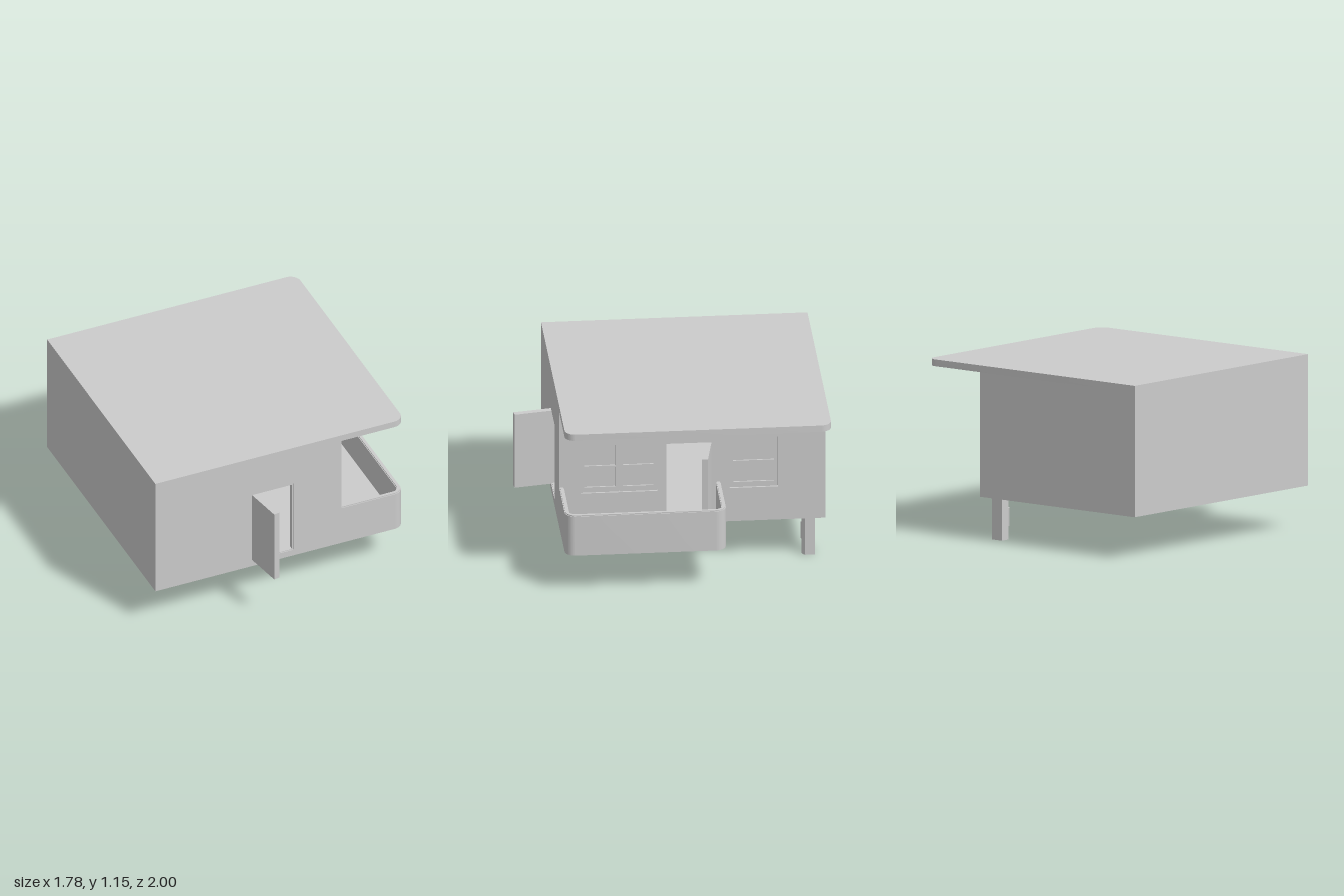
import * as THREE from 'three';
import { toCreasedNormals } from 'three/addons/utils/BufferGeometryUtils.js';

const mat = new THREE.MeshStandardMaterial({ color: 0xcccccc });
const X0 = -0.89, X1 = 0.44, X2 = 0.89, Z0 = -1, Z1 = 0.75;
const Y0 = 0.285, FLOOR = 0.33, CEIL = 1.11, TOP = 1.155, T = 0.04;

function add(parent, name, geo, x = 0, y = 0, z = 0) {
  const m = new THREE.Mesh(geo, mat);
  m.name = name;
  m.position.set(x, y, z);
  parent.add(m);
  return m;
}

// Box given by its limits on each axis
function block(parent, name, x0, x1, y0, y1, z0, z1) {
  return add(parent, name, new THREE.BoxGeometry(x1 - x0, y1 - y0, z1 - z0),
    (x0 + x1) / 2, (y0 + y1) / 2, (z0 + z1) / 2);
}

function rectPath(path, [u0, u1, v0, v1]) {
  path.moveTo(u0, v0);
  path.lineTo(u1, v0);
  path.lineTo(u1, v1);
  path.lineTo(u0, v1);
  path.closePath();
  return path;
}

// Upright panel with rectangular holes, each [u0, u1, v0, v1]
function panel(outer, holes, depth) {
  const s = rectPath(new THREE.Shape(), outer);
  for (const h of holes) s.holes.push(rectPath(new THREE.Path(), h));
  return new THREE.ExtrudeGeometry(s, { depth, bevelEnabled: false });
}

// Panel facing +x, with u running towards -z
function sidePanel(parent, name, outer, holes, depth, x) {
  return add(parent, name, panel(outer, holes, depth).rotateY(Math.PI / 2), x, 0, 0);
}

// Plan outline (x, -z) raised from y0 to y1
function raise(shape, y0, y1) {
  const g = new THREE.ExtrudeGeometry(shape, { depth: y1 - y0, bevelEnabled: false, curveSegments: 10 });
  return toCreasedNormals(g.rotateX(-Math.PI / 2).translate(0, y0, 0), 0.6);
}

// Line round the two +x corners, front to back
function roundedEnd(shape, x, zFront, zBack, r) {
  shape.lineTo(x - r, -zFront);
  shape.absarc(x - r, -zFront + r, r, -Math.PI / 2, 0, false);
  shape.lineTo(x, -zBack - r);
  shape.absarc(x - r, -zBack - r, r, 0, Math.PI / 2, false);
}

function slabShape(xa, xb, zFront, zBack, r) {
  const s = new THREE.Shape();
  s.moveTo(xa, -zFront);
  roundedEnd(s, xb, zFront, zBack, r);
  s.lineTo(xa, -zBack);
  s.closePath();
  return s;
}

const BACK = -0.31, R = 0.07, P = 0.03;
function parapetShape(inset) {
  const s = new THREE.Shape();
  const i = inset, w = P - inset;
  s.moveTo(X1, -(Z1 - i));
  roundedEnd(s, X2 - i, Z1 - i, BACK + i, R - i);
  s.lineTo(X1, -(BACK + i));
  s.lineTo(X1, -(BACK + w));
  s.lineTo(X2 - R, -(BACK + w));
  s.absarc(X2 - R, -(BACK + R), R - w, Math.PI / 2, 0, true);
  s.lineTo(X2 - w, -(Z1 - R));
  s.absarc(X2 - R, -(Z1 - R), R - w, 0, -Math.PI / 2, true);
  s.lineTo(X1, -(Z1 - w));
  s.closePath();
  return s;
}

// Framed window in the +x wall: trim, sashes and glass
function addWindow(parent, [u0, u1, v0, v1], columns) {
  const g = new THREE.Group();
  g.name = 'window';
  parent.add(g);
  const e = 0.018;
  const inner = [u0 + e, u1 - e, v0 + e, v1 - e];
  sidePanel(g, 'windowTrim', [u0, u1, v0, v1], [inner], T, X1 - T);
  const cw = (inner[1] - inner[0]) / columns;
  for (let c = 0; c < columns; c++) {
    const a = inner[0] + c * cw, b = a + cw;
    const outer = [a + 0.002, b - 0.002, inner[2], inner[3]];
    const panes = [[a + 0.025, b - 0.025, 0.56, 0.70], [a + 0.025, b - 0.025, 0.712, 0.857]];
    sidePanel(g, 'sash', outer, panes, 0.02, X1 - 0.033);
  }
  block(g, 'glass', X1 - 0.028, X1 - 0.024, inner[2], inner[3], -inner[1], -inner[0]);
}

// Open door leaf; side is the way its thickness goes from the hinge edge
function addDoor(parent, name, x, z, turn, side) {
  const leaf = new THREE.BoxGeometry(0.04, 0.525, 0.27).translate(side * 0.02, 0.2625, 0.135);
  add(parent, name, leaf, x, FLOOR, z).rotation.y = turn;
}

export function createModel() {
  const house = new THREE.Group();
  house.name = 'house';

  // Walls
  const frontDoor = [-0.2, 0.1, FLOOR, 0.865];
  const sideDoor = [-0.055, 0.25, FLOOR, 0.865];
  const wideWindow = [-0.625, -0.085, 0.505, 0.9];
  const smallWindow = [0.35, 0.705, 0.505, 0.9];
  add(house, 'frontWall', panel([X0, X1 - T, Y0, CEIL], [frontDoor], T), 0, 0, Z1 - T);
  sidePanel(house, 'sideWall', [-Z1, -Z0, Y0, CEIL], [wideWindow, sideDoor, smallWindow], T, X1 - T);
  block(house, 'backWall', X0, X1 - T, Y0, CEIL, Z0, Z0 + T);
  block(house, 'leftOuterWall', X0, X0 + T, Y0, CEIL, Z0 + T, Z1 - T);
  block(house, 'skirting', X0 + T, X1 - T, FLOOR, 0.4, Z0 + T, Z0 + T + 0.01);

  // Floors and roof
  block(house, 'floor', X0 + T, X1 - T, Y0, FLOOR, Z0 + T, Z1 - T);
  add(house, 'balconyFloor', raise(slabShape(X1, X2 - P, Z1 - P, BACK + P, R - P), Y0, FLOOR));
  add(house, 'roof', raise(slabShape(X0, X2, Z1, Z0, R), CEIL, TOP));

  // Balcony parapet with a slightly narrower rim
  add(house, 'parapet', raise(parapetShape(0), Y0, 0.565));
  add(house, 'parapetRim', raise(parapetShape(0.005), 0.565, 0.572));

  // Windows
  addWindow(house, wideWindow, 2);
  addWindow(house, smallWindow, 1);

  // Doors, both standing open, with thin linings
  const lining = ([a, b, c, d]) => [[a, b, c, d], [[a + 0.01, b - 0.01, c + 0.005, d - 0.01]]];
  add(house, 'frontDoorLining', panel(...lining(frontDoor), T - 0.006), 0, 0, Z1 - T);
  sidePanel(house, 'balconyDoorLining', ...lining(sideDoor), T - 0.006, X1 - T);
  const ajar = THREE.MathUtils.degToRad(10);
  addDoor(house, 'frontDoor', -0.197, 0.734, ajar, 1);
  addDoor(house, 'balconyDoor', 0.44, -0.25, Math.PI / 2 - ajar, -1);

  // Post below the floor, chamfered towards the front, with a small box on it
  const post = new THREE.Shape();
  [[0.305, 0.935], [0.305, 0.87], [0.325, 0.85], [0.37, 0.85], [0.39, 0.87], [0.39, 0.935]]
    .forEach(([x, y], i) => (i ? post.lineTo(x, y) : post.moveTo(x, y)));
  post.closePath();
  const postMesh = add(house, 'post', new THREE.ExtrudeGeometry(post, { depth: Y0, bevelEnabled: false }));
  postMesh.rotation.x = -Math.PI / 2;
  add(house, 'postBox', new THREE.BoxGeometry(0.03, 0.12, 0.018), 0.316, 0.15, -0.861).rotation.y = -Math.PI / 4;

  return house;
}
